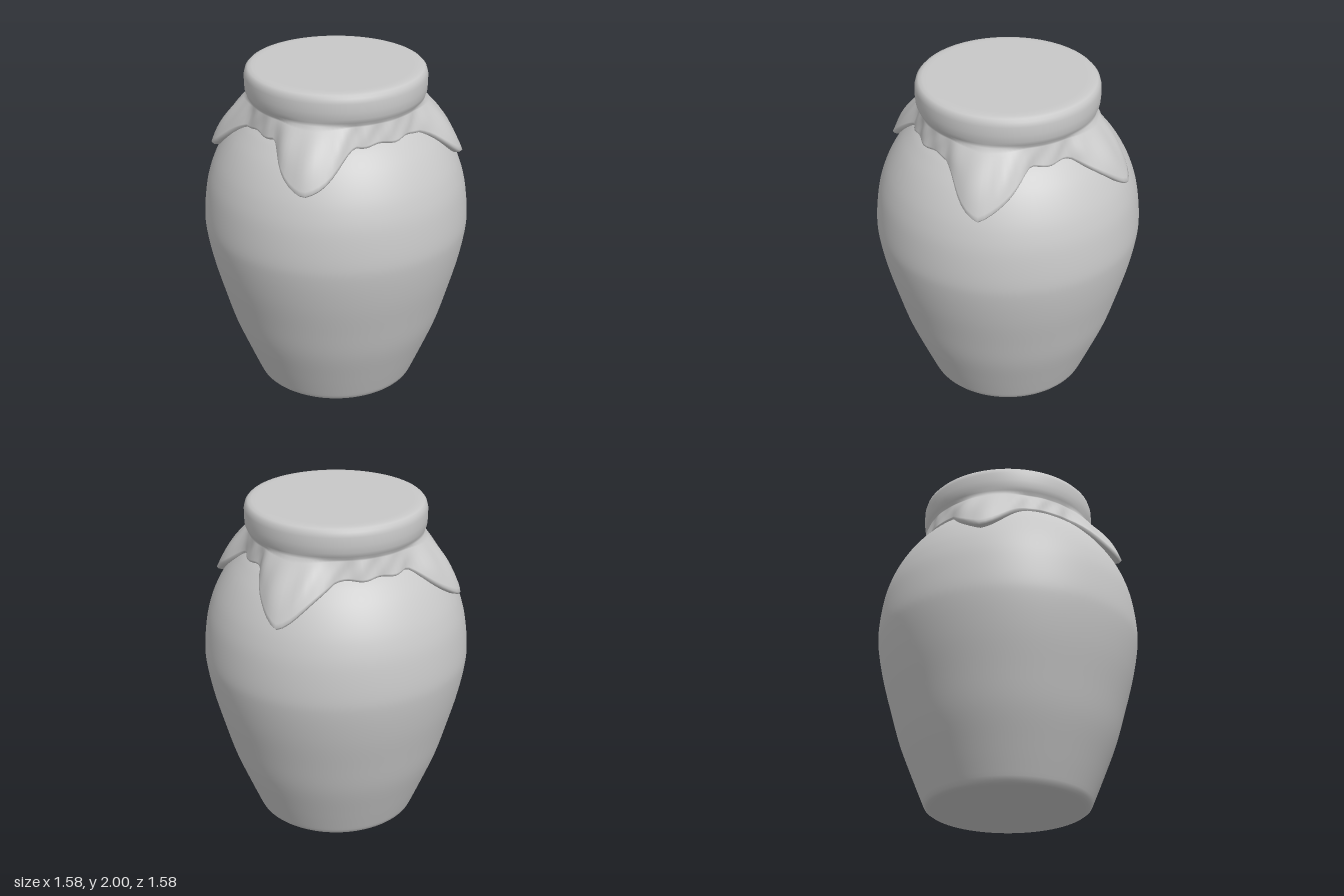
import * as THREE from 'three';
import { mergeVertices } from 'three/addons/utils/BufferGeometryUtils.js';

const SEGMENTS = 128;
const v2 = ([x, y]) => new THREE.Vector2(x, y);
const lerp = THREE.MathUtils.lerp;

// Outer wall of the jar, bottom to top, as [radius, height]
const wall = new THREE.SplineCurve([
  [0.495, 0.04], [0.56, 0.2], [0.637, 0.4], [0.695, 0.6], [0.748, 0.8], [0.782, 0.98],
  [0.788, 1.1], [0.768, 1.27], [0.735, 1.39], [0.69, 1.49], [0.63, 1.585],
  [0.56, 1.665], [0.5, 1.72], [0.45, 1.8],
].map(v2)).getPoints(64);

function wallRadius(y) {
  const i = Math.max(1, wall.findIndex((p) => p.y >= y));
  const a = wall[i - 1], b = wall[i];
  return lerp(a.x, b.x, (y - a.y) / (b.y - a.y));
}

// Weld the lathe seam and smooth the normals
function smooth(geometry) {
  geometry.deleteAttribute('uv');
  geometry.deleteAttribute('normal');
  const welded = mergeVertices(geometry, 1e-5);
  welded.computeVertexNormals();
  return welded;
}

// Directions of the four cloth corners, measured from +z towards +x
const corners = [-96, -15.3, 84.6, 163].map(THREE.MathUtils.degToRad);

// 1 at a cloth corner, 0 in the gap between corners
function cornerAmount(phi) {
  const gap = Math.min(...corners.map((c) => Math.abs(Math.atan2(Math.sin(phi - c), Math.cos(phi - c)))));
  const t = Math.min(1, gap / 0.46);
  return 0.55 * (0.5 + 0.5 * Math.cos(Math.PI * t)) + 0.45 * (1 - t);
}

// Cloth section at one angle: inner edge, hem, skirt, tied neck, lid
const SKIRT = 14;
function clothSection(phi) {
  const f = cornerAmount(phi);
  const hemY = 1.7 - 0.215 * f + 0.006 * Math.sin(phi * 17);
  const hemR = wallRadius(hemY) + 0.016 + 0.036 * f;
  const points = [
    [wallRadius(hemY) - 0.03, hemY + 0.01],
    [wallRadius(hemY) + 0.003, hemY - 0.012],
    [hemR - 0.012, hemY - 0.012],
  ];
  for (let i = 0; i <= SKIRT; i++) {
    const k = 1 - i / SKIRT;
    const y = lerp(1.815, hemY, k);
    const fold = 0.006 * Math.sin(phi * 23 + k * 2) * Math.sin(Math.PI * k);
    const r = lerp(0.505 + 0.012 * f, hemR, k) + 0.03 * f * Math.sin(Math.PI * k) + fold;
    points.push([Math.max(r, wallRadius(Math.min(y, 1.79)) + 0.014), y]);
  }
  points.push([0.517, 1.835], [0.527, 1.86], [0.53, 1.9], [0.529, 1.95], [0.521, 1.978],
    [0.507, 1.993], [0.485, 1.999], [0.45, 2], [0.2, 2], [0, 2]);
  return points;
}

function clothGeometry() {
  const geometry = new THREE.LatheGeometry(clothSection(0).map(v2), SEGMENTS);
  const position = geometry.attributes.position;
  const rows = clothSection(0).length;
  for (let s = 0; s <= SEGMENTS; s++) {
    const phi = (s % SEGMENTS) / SEGMENTS * Math.PI * 2;
    clothSection(phi).forEach(([r, y], j) => {
      position.setXYZ(s * rows + j, r * Math.sin(phi), y, r * Math.cos(phi));
    });
  }
  return smooth(geometry);
}

export function createModel() {
  const group = new THREE.Group();
  group.name = 'coveredJar';
  const clay = new THREE.MeshStandardMaterial({ color: 0xc8c8c8 });
  clay.name = 'light grey';

  // Jar with a flat base and softly rounded foot
  const foot = [[0, 0], [0.3, 0], [0.445, 0], [0.468, 0.004], [0.484, 0.016]].map(v2);
  const jar = new THREE.Mesh(smooth(new THREE.LatheGeometry([...foot, ...wall], SEGMENTS)), clay);
  jar.name = 'jarBody';

  // Cloth pulled over the lid with four hanging corners
  const cloth = new THREE.Mesh(clothGeometry(), clay);
  cloth.name = 'clothCover';

  group.add(jar, cloth);
  return group;
}
